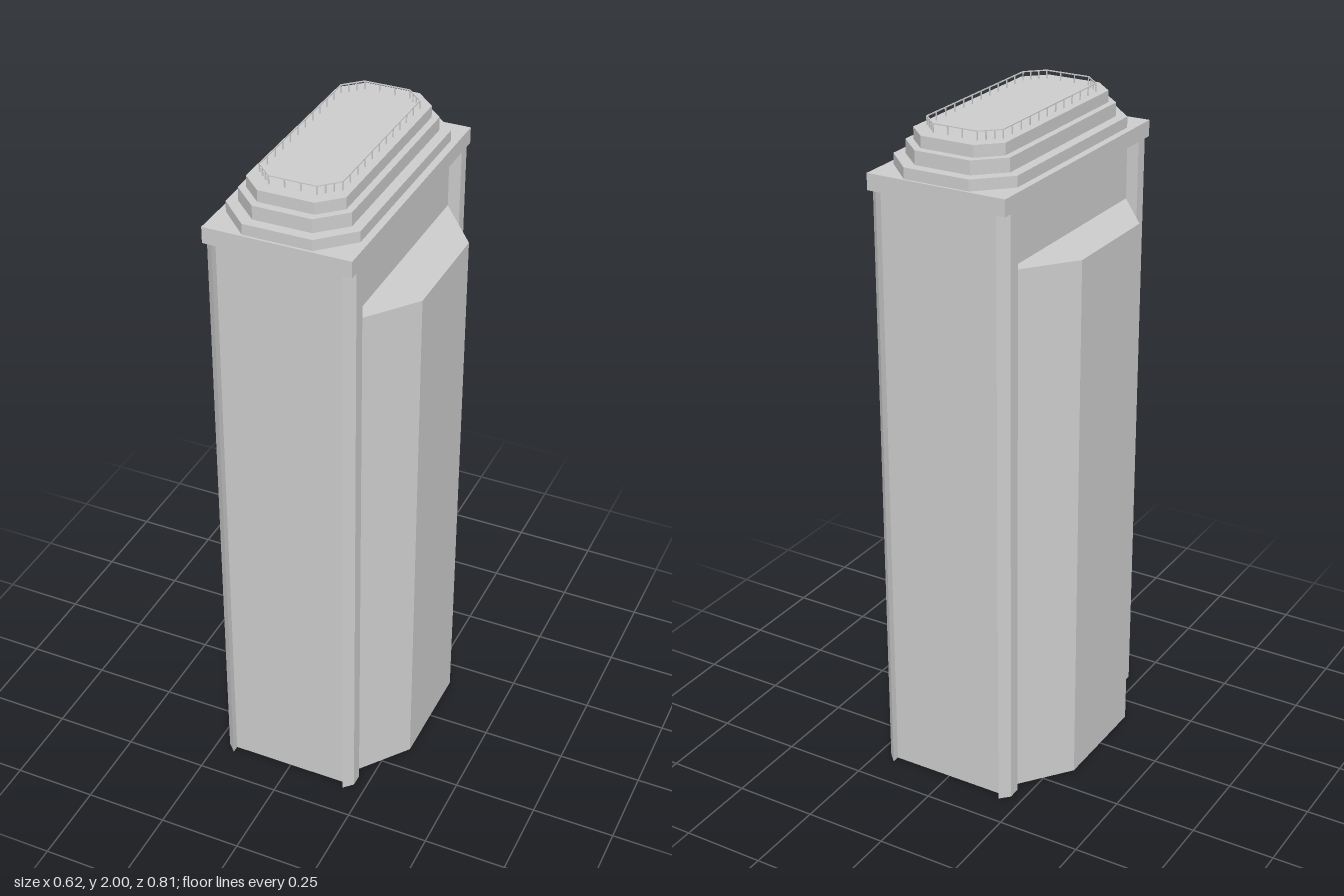
import * as THREE from 'three';

const grey = new THREE.MeshStandardMaterial({ color: 0xcccccc });
const greyThin = new THREE.MeshStandardMaterial({ color: 0xcccccc, side: THREE.DoubleSide });

function add(parent, name, geometry, material = grey) {
  const mesh = new THREE.Mesh(geometry, material);
  mesh.name = name;
  parent.add(mesh);
  return mesh;
}

// Repeats half a plan, turned 180 degrees about the vertical axis
const turned = (half) => [...half, ...half.map(([x, z]) => [-x, -z])];

// Vertical walls along a plan of [x, z] points, open at top and bottom
function walls(plan, y0, y1, closed) {
  const pos = [];
  const count = closed ? plan.length : plan.length - 1;
  for (let i = 0; i < count; i++) {
    const [ax, az] = plan[i];
    const [bx, bz] = plan[(i + 1) % plan.length];
    pos.push(ax, y0, az, bx, y0, bz, bx, y1, bz, ax, y0, az, bx, y1, bz, ax, y1, az);
  }
  const g = new THREE.BufferGeometry();
  g.setAttribute('position', new THREE.Float32BufferAttribute(pos, 3));
  g.computeVertexNormals();
  return g;
}

const toShape = (plan) => new THREE.Shape(plan.map(([x, z]) => new THREE.Vector2(x, -z)));

// Solid prism standing on y0
function prism(plan, y0, y1) {
  const g = new THREE.ExtrudeGeometry(toShape(plan), { depth: y1 - y0, bevelEnabled: false });
  return g.rotateX(-Math.PI / 2).translate(0, y0, 0);
}

// Long octagon: half sizes x, z and where the corner cuts begin
const octagon = (x, z, cx, cz) => turned([[-cx, z], [cx, z], [x, cz], [x, -cz]]);

export function createModel() {
  const model = new THREE.Group();
  model.name = 'tower';

  const bayTop = 1.645, slabBottom = 1.82, slabTop = 1.868;
  const bay = [[0.177, 0.34], [0.31, 0.167], [0.31, -0.167], [0.177, -0.34]];
  const front = [[-0.186, 0.382], [0.186, 0.382], [0.186, 0.405], [0.213, 0.378], [0.213, 0.34], [0.177, 0.34]];
  const back = [[0.177, -0.34], [0.213, -0.34], [0.213, -0.378], [0.186, -0.405]];

  // Hollow shaft: recessed end panels, chamfered corner posts and side bays
  const lower = turned([...front, ...bay.slice(1, 3), ...back]);
  const upper = turned([...front, ...back]);
  add(model, 'lowerShaft', walls(lower, 0, bayTop, true), greyThin);
  add(model, 'upperShaft', walls(upper, bayTop, slabBottom, true), greyThin);

  // Flat roofs of the two side bays
  for (const s of [1, -1]) {
    const roof = new THREE.ShapeGeometry(toShape(bay.map(([x, z]) => [s * x, s * z])));
    roof.rotateX(-Math.PI / 2).translate(0, bayTop, 0);
    add(model, s > 0 ? 'leftBayRoof' : 'rightBayRoof', roof, greyThin);
  }

  // Cornice slab
  const slab = new THREE.BoxGeometry(0.426, slabTop - slabBottom, 0.81);
  add(model, 'corniceSlab', slab).position.y = (slabTop + slabBottom) / 2;

  // Stepped octagonal crown
  const steps = [
    [0.192, 0.398, 0.1, 0.307, slabTop, 1.9],
    [0.162, 0.367, 0.085, 0.293, 1.9, 1.94],
    [0.142, 0.343, 0.081, 0.284, 1.94, 1.974],
  ];
  for (const [x, z, cx, cz, y0, y1] of steps) {
    add(model, 'crownStep', prism(octagon(x, z, cx, cz), y0, y1));
  }

  // Thin railing around the roof terrace
  const railing = new THREE.Group();
  railing.name = 'roofRailing';
  model.add(railing);
  const rail = octagon(0.118, 0.302, 0.068, 0.253);
  const t = 0.003;
  rail.forEach(([ax, az], i) => {
    const [bx, bz] = rail[(i + 1) % rail.length];
    const length = Math.hypot(bx - ax, bz - az);
    const bar = add(railing, 'handrail', new THREE.BoxGeometry(length, t, t));
    bar.position.set((ax + bx) / 2, 2 - t / 2, (az + bz) / 2);
    bar.rotation.y = -Math.atan2(bz - az, bx - ax);
    const n = Math.max(3, Math.round(length / 0.045));
    for (let k = 0; k < n; k++) {
      const f = k / n;
      const post = add(railing, 'railingPost', new THREE.BoxGeometry(t, 2 - 1.974, t));
      post.position.set(ax + (bx - ax) * f, 1.987, az + (bz - az) * f);
    }
  });

  return model;
}
